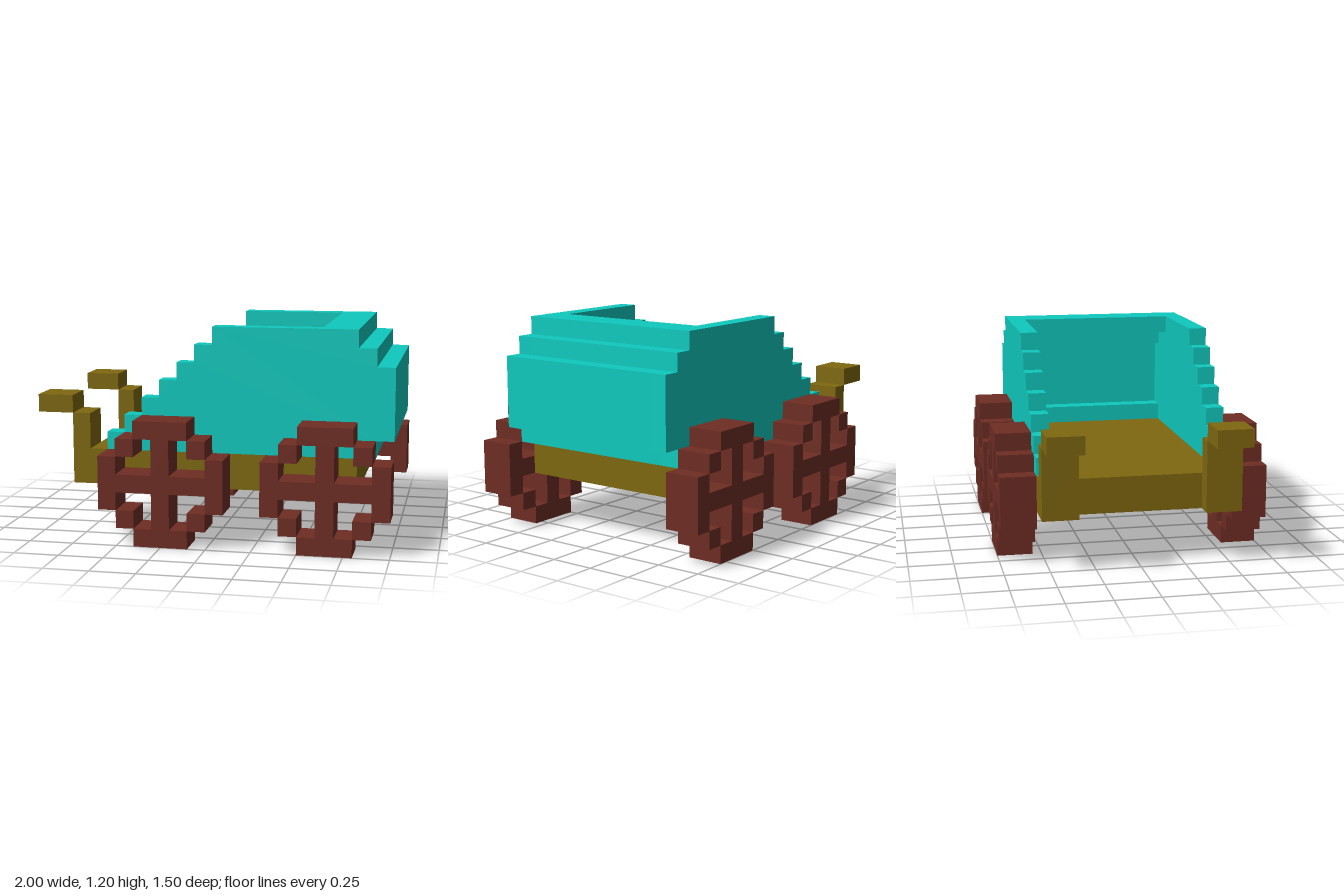
import * as THREE from 'three';

const material = (name, color) => {
  const m = new THREE.MeshStandardMaterial({ color });
  m.name = name;
  return m;
};

export function createModel() {
  const cart = new THREE.Group();
  cart.name = 'wagon';
  const teal = material('teal', 0x0fcabe);
  const wood = material('olive wood', 0x7f6810);
  const wheelBrown = material('red brown', 0x6e2d24);

  // Box given by its lower and upper limits on each axis
  function block(parent, name, mat, [x0, x1], [y0, y1], [z0, z1]) {
    const mesh = new THREE.Mesh(new THREE.BoxGeometry(x1 - x0, y1 - y0, z1 - z0), mat);
    mesh.position.set((x0 + x1) / 2, (y0 + y1) / 2, (z0 + z1) / 2);
    mesh.name = name;
    parent.add(mesh);
  }

  // Floor
  block(cart, 'floor', wood, [-0.7, 0.8], [0.3, 0.5], [-0.55, 0.55]);

  // Stepped side wall outline
  const outline = new THREE.Shape();
  outline.moveTo(-0.6, 0.5);
  for (let i = 0; i < 7; i++) {
    outline.lineTo(-0.6 + i * 0.1, 0.6 + i * 0.1);
    if (i < 6) outline.lineTo(-0.5 + i * 0.1, 0.6 + i * 0.1);
  }
  [[0.8, 1.2], [0.8, 1.1], [0.9, 1.1], [0.9, 1], [1, 1], [1, 0.6], [0.9, 0.6], [0.9, 0.5]]
    .forEach(([x, y]) => outline.lineTo(x, y));
  outline.closePath();
  const wallGeometry = new THREE.ExtrudeGeometry(outline, { depth: 0.1, bevelEnabled: false });

  // Wheel on a 7 x 7 grid of cells: [column, row, width, height]
  const wheelCells = [
    [2, 0, 3, 1], [2, 6, 3, 1], [0, 2, 1, 3], [6, 2, 1, 3],
    [1, 1, 1, 1], [5, 1, 1, 1], [1, 5, 1, 1], [5, 5, 1, 1],
    [1, 3, 5, 1], [3, 1, 1, 2], [3, 4, 1, 2],
  ];

  for (const side of [1, -1]) {
    const label = side > 0 ? 'front' : 'back';

    const wall = new THREE.Mesh(wallGeometry, teal);
    wall.position.z = side > 0 ? 0.45 : -0.55;
    wall.name = label + 'SideWall';
    cart.add(wall);

    // Shaft: upright post with a raised grip
    const shaftZ = side > 0 ? [0.35, 0.55] : [-0.55, -0.35];
    block(cart, label + 'ShaftPost', wood, [-0.8, -0.7], [0.3, 0.7], shaftZ);
    block(cart, label + 'ShaftGrip', wood, [-1, -0.8], [0.7, 0.8], shaftZ);

    // Two wheels per side
    for (const x of [-0.6, 0.3]) {
      const wheel = new THREE.Group();
      wheel.name = label + (x < 0 ? 'LeadingWheel' : 'TrailingWheel');
      wheel.position.set(x, 0, side * 0.65);
      for (const [c, r, w, h] of wheelCells) {
        block(wheel, 'wheelPart', wheelBrown,
          [c * 0.1, (c + w) * 0.1], [r * 0.1, (r + h) * 0.1], [-0.1, 0.1]);
      }
      cart.add(wheel);
    }
  }

  // Hollow end of the tub, between the side walls
  const inner = [-0.45, 0.45];
  block(cart, 'topLip', teal, [0.6, 0.8], [1.1, 1.2], inner);
  block(cart, 'upperStep', teal, [0.8, 0.9], [1, 1.1], inner);
  block(cart, 'endWall', teal, [0.9, 1], [0.6, 1], inner);
  block(cart, 'lowerStep', teal, [0.8, 0.9], [0.5, 0.6], inner);

  return cart;
}
